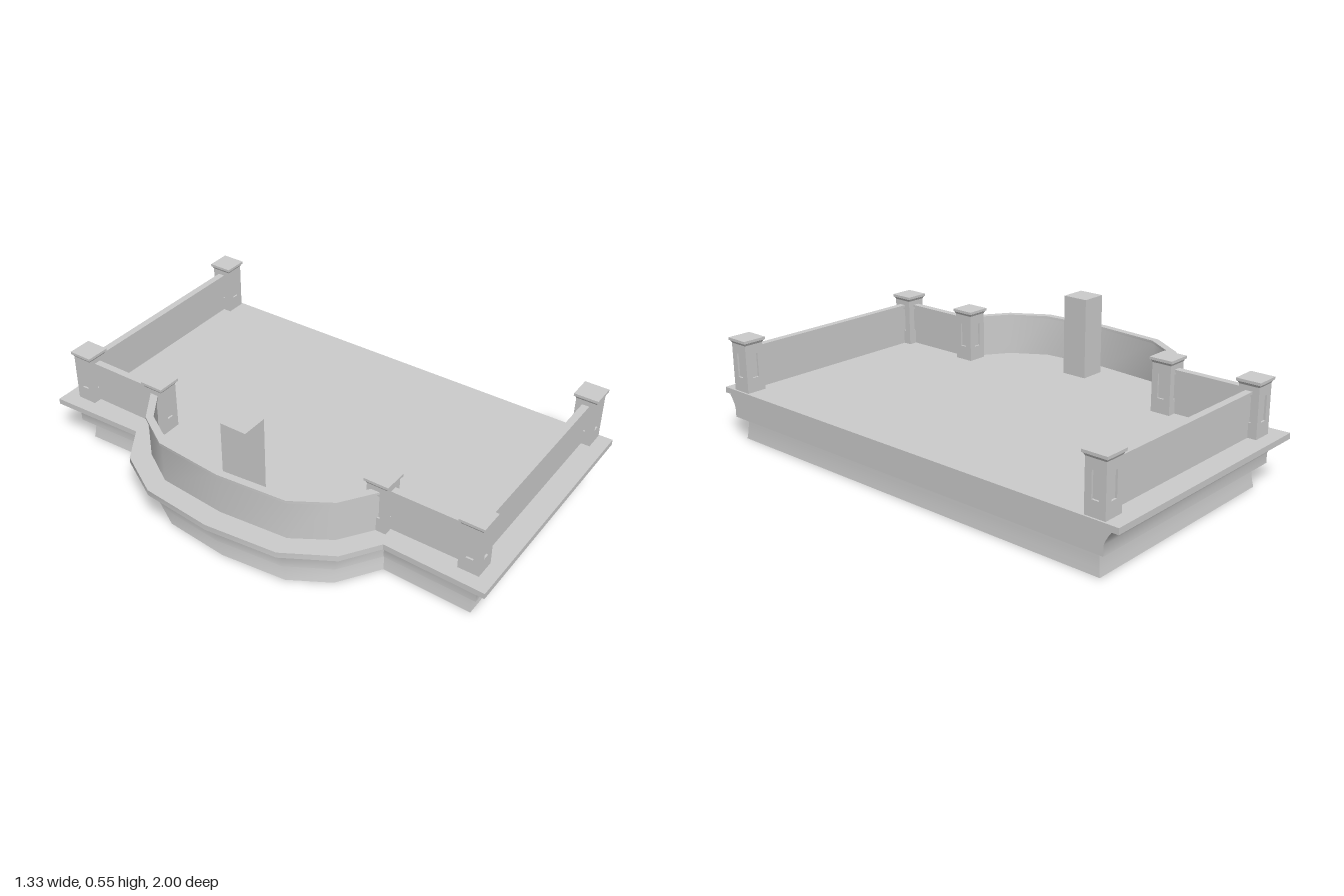
import * as THREE from 'three';
import { toCreasedNormals } from 'three/addons/utils/BufferGeometryUtils.js';

const material = new THREE.MeshStandardMaterial({ color: 0xcccccc });
const DECK = 0.212;
const POST_X = [-0.295, 0.61], POST_Z = 0.9, BAY_Z = 0.52;

// Plan points are [x, -z]; half an outline is mirrored about z = 0.
const mirrorPath = half => [...half, ...half.slice(0, -1).reverse().map(([x, w]) => [x, -w])];

// Mitred offset of an open path, to its left for positive d.
function offsetPath(path, d) {
  const normals = path.slice(1).map(([x, w], i) => {
    const n = new THREE.Vector2(path[i][1] - w, x - path[i][0]);
    return n.normalize();
  });
  return path.map(([x, w], i) => {
    const a = normals[Math.max(i - 1, 0)], b = normals[Math.min(i, normals.length - 1)];
    const k = d / (1 + a.dot(b));
    return [x + (a.x + b.x) * k, w + (a.y + b.y) * k];
  });
}

// Closed solid through counter-clockwise rings stacked at given heights.
function loft(rings) {
  const pos = [];
  const put = (ring, i) => pos.push(ring.pts[i][0], ring.y, -ring.pts[i][1]);
  const n = rings[0].pts.length;
  for (let r = 0; r < rings.length - 1; r++) {
    const lo = rings[r], hi = rings[r + 1];
    for (let i = 0; i < n; i++) {
      const j = (i + 1) % n;
      put(lo, i); put(lo, j); put(hi, j);
      put(lo, i); put(hi, j); put(hi, i);
    }
  }
  for (const [ring, up] of [[rings[0], false], [rings[rings.length - 1], true]]) {
    const contour = ring.pts.map(p => new THREE.Vector2(...p));
    for (const [a, b, c] of THREE.ShapeUtils.triangulateShape(contour, [])) {
      for (const i of up ? [a, b, c] : [a, c, b]) put(ring, i);
    }
  }
  const g = new THREE.BufferGeometry();
  g.setAttribute('position', new THREE.Float32BufferAttribute(pos, 3));
  return toCreasedNormals(g, 0.6);
}

function add(parent, name, geometry, x = 0, y = 0, z = 0) {
  const mesh = new THREE.Mesh(geometry, material);
  mesh.name = name;
  mesh.position.set(x, y, z);
  parent.add(mesh);
  return mesh;
}

// Deck outline with a bowed bay on the -x side.
const outline = mirrorPath([
  [0.66, 1], [-0.4, 1], [-0.387, 0.585], [-0.53, 0.49], [-0.64, 0.3], [-0.67, 0],
]);

// Each step is [height, inset, x of the straight side].
function tier(steps) {
  return loft(steps.map(([y, inset, xr]) => {
    const pts = offsetPath(outline, inset);
    pts[0][0] = pts[pts.length - 1][0] = xr;
    return { y, pts };
  }));
}

// Upright ribbon following a plan path.
function wallGeometry(path, width, y0, y1) {
  const pts = [...offsetPath(path, -width / 2), ...offsetPath(path, width / 2).reverse()];
  return loft([{ y: y0, pts }, { y: y1, pts }]);
}

function addParapet(parent, name, path) {
  const g = new THREE.Group();
  g.name = name;
  add(g, 'wallPanel', wallGeometry(path, 0.012, DECK - 0.005, 0.383));
  add(g, 'handrail', wallGeometry(path, 0.03, 0.382, 0.392));
  parent.add(g);
}

// Square post with a sunk panel on every side and a flared cap.
function makePost() {
  const post = new THREE.Group();
  post.name = 'post';
  const half = 0.0425, depth = 0.008, height = 0.206;
  const core = 2 * (half - depth);
  add(post, 'shaftCore', new THREE.BoxGeometry(core, height, core), 0, height / 2, 0);

  const face = new THREE.Shape();
  face.moveTo(-half, 0).lineTo(half, 0).lineTo(half, height).lineTo(-half, height).closePath();
  const hole = new THREE.Path();
  hole.moveTo(-0.015, 0.06).lineTo(-0.015, 0.16).lineTo(0.015, 0.16).lineTo(0.015, 0.06).closePath();
  face.holes.push(hole);
  const plate = new THREE.ExtrudeGeometry(face, { depth, bevelEnabled: false });
  plate.translate(0, 0, half - depth);
  for (let i = 0; i < 4; i++) add(post, 'panelledFace', plate).rotation.y = i * Math.PI / 2;

  const square = h => [[-h, -h], [h, -h], [h, h], [-h, h]];
  add(post, 'cap', loft([
    { y: 0.2, pts: square(half) },
    { y: 0.209, pts: square(0.047) },
    { y: 0.211, pts: square(0.051) },
    { y: 0.222, pts: square(0.051) },
  ]));
  return post;
}

export function createModel() {
  const model = new THREE.Group();
  model.name = 'balcony';

  // Stepped base, coved moulding and floor slab
  add(model, 'base', tier([
    [0, 0.087, 0.635], [0.03, 0.092, 0.631], [0.06, 0.095, 0.629], [0.096, 0.096, 0.628],
  ]));
  add(model, 'moulding', tier([
    [0.095, 0.057, 0.66], [0.135, 0.057, 0.66], [0.15, 0.051, 0.66],
    [0.17, 0.04, 0.66], [0.19, 0.026, 0.66],
  ]));
  add(model, 'floorSlab', tier([[0.188, 0, 0.66], [DECK, 0, 0.66]]));

  // Posts and straight parapets, mirrored front to back
  for (const s of [1, -1]) {
    for (const [x, z] of [[POST_X[0], POST_Z], [POST_X[1], POST_Z], [POST_X[0], BAY_Z]]) {
      const post = makePost();
      post.position.set(x, DECK, s * z);
      model.add(post);
    }
    addParapet(model, 'endParapet', [[POST_X[0], s * POST_Z], [POST_X[1], s * POST_Z]]);
    addParapet(model, 'sideParapet', [[POST_X[0], s * BAY_Z], [POST_X[0], s * POST_Z]]);
  }

  // Bowed parapet around the bay
  addParapet(model, 'bayParapet', mirrorPath([
    [-0.3, 0.54], [-0.46, 0.43], [-0.55, 0.285], [-0.575, 0],
  ]));

  // Freestanding pillar in the bay
  add(model, 'pillar', new THREE.BoxGeometry(0.11, 0.34, 0.112), -0.448, 0.38, 0.014);

  return model;
}
